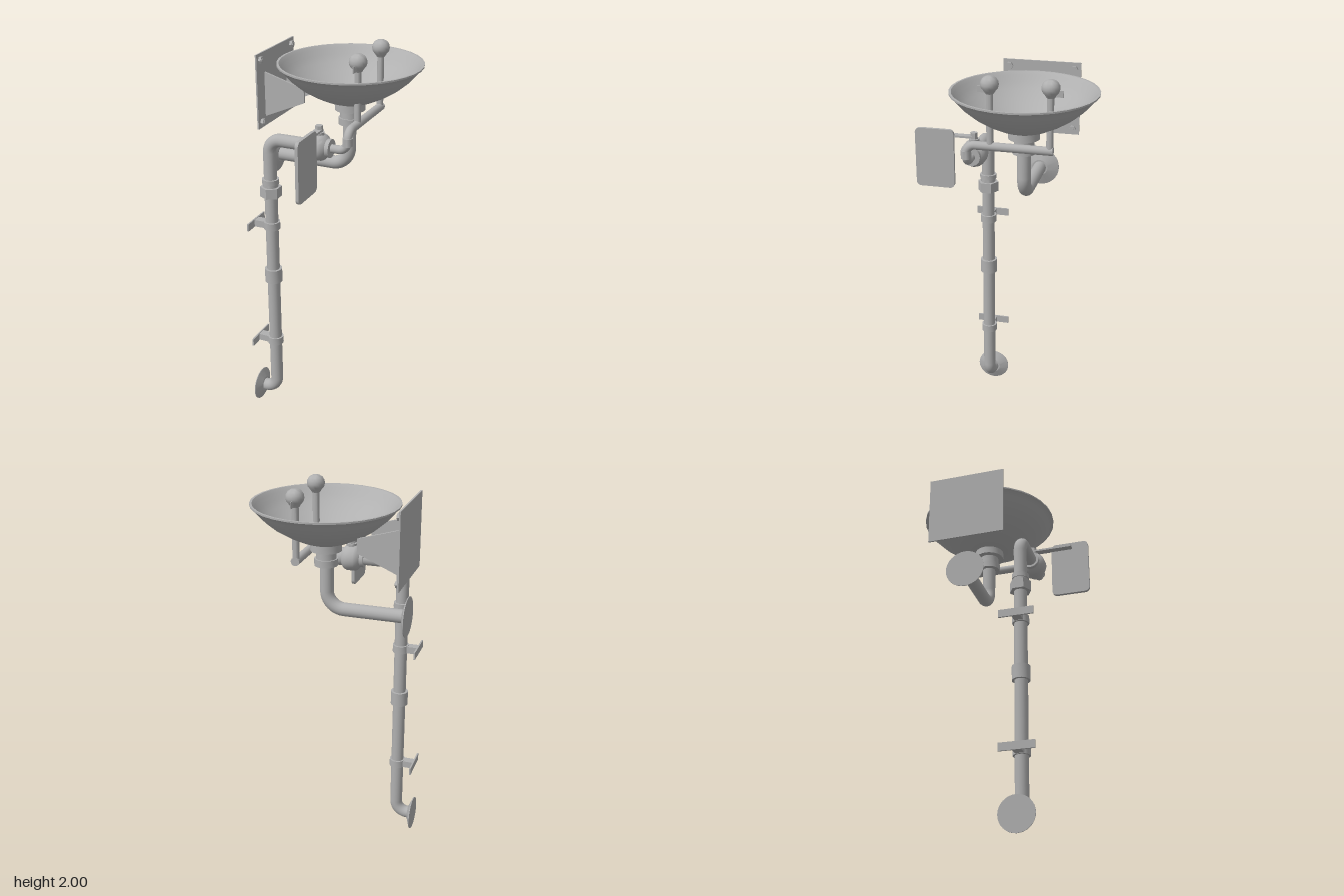
import * as THREE from 'three';
import { toCreasedNormals } from 'three/addons/utils/BufferGeometryUtils.js';

const steel = new THREE.MeshStandardMaterial({ color: 0xb0b0b0 });
steel.name = 'grey steel';

const WALL = -0.39;                 // wall plane
const BX = 0.025, BZ = -0.1;        // bowl axis
const SX = -0.293, SZ = 0.164;      // supply pipe axis
const VY = 1.56;                    // valve height
const NX = 0.125;                   // nozzle row

export function createModel() {
  const root = new THREE.Group();
  root.name = 'wallEyewash';

  const add = (name, geo, x = 0, y = 0, z = 0) => {
    const m = new THREE.Mesh(geo, steel);
    m.name = name;
    m.position.set(x, y, z);
    root.add(m);
    return m;
  };
  const box = (name, x0, x1, y0, y1, z0, z1) =>
    add(name, new THREE.BoxGeometry(x1 - x0, y1 - y0, z1 - z0), (x0 + x1) / 2, (y0 + y1) / 2, (z0 + z1) / 2);

  // Turned part: profile of [radius, distance along the axis]
  const turned = (name, profile, x, y, z, alongX = false, sides = 24, crease = 0.6) => {
    const pts = profile.map(([r, h]) => new THREE.Vector2(r, h));
    const geo = toCreasedNormals(new THREE.LatheGeometry(pts, sides), crease);
    if (alongX) geo.rotateZ(-Math.PI / 2);
    return add(name, geo, x, y, z);
  };
  const drum = (name, r, h0, h1, x, y, z, alongX = false, sides = 24) =>
    turned(name, [[0, h0], [r, h0], [r, h1], [0, h1]], x, y, z, alongX, sides);

  // Pipe through corner points with rounded elbows
  const pipe = (name, corners, r, bend, segments) => {
    const p = corners.map((c) => new THREE.Vector3(...c));
    const path = new THREE.CurvePath();
    let from = p[0];
    for (let i = 1; i < p.length - 1; i++) {
      const a = p[i].clone().add(p[i - 1].clone().sub(p[i]).setLength(bend));
      const b = p[i].clone().add(p[i + 1].clone().sub(p[i]).setLength(bend));
      const c1 = a.clone().lerp(p[i], 0.55), c2 = b.clone().lerp(p[i], 0.55);
      path.add(new THREE.LineCurve3(from, a));
      path.add(new THREE.CubicBezierCurve3(a, c1, c2, b));
      from = b;
    }
    path.add(new THREE.LineCurve3(from, p[p.length - 1]));
    add(name, new THREE.TubeGeometry(path, segments, r, 18));
  };
  const flange = (name, r, y, z) =>
    turned(name, [[0, 0], [r, 0], [r, 0.004], [0.042, 0.024], [0, 0.024]], WALL, y, z, true, 32, 0.3);

  // Bowl with a thin rim
  turned('bowl', [
    [0, 1.712], [0.075, 1.712], [0.13, 1.732], [0.19, 1.761], [0.25, 1.798], [0.3, 1.84],
    [0.335, 1.878], [0.35, 1.899], [0.36, 1.903], [0.36, 1.911], [0.349, 1.911],
    [0.335, 1.895], [0.315, 1.868], [0.285, 1.838], [0.235, 1.802], [0.18, 1.771],
    [0.12, 1.745], [0.06, 1.73], [0, 1.73]], BX, 0, BZ, false, 32, 0.7);
  drum('drainCover', 0.061, 1.725, 1.738, BX, 0, BZ, false, 24);

  // Drain fittings and waste pipe
  drum('drainCollar', 0.077, 1.675, 1.715, BX, 0, BZ);
  drum('drainNut', 0.05, 1.635, 1.675, BX, 0, BZ);
  drum('drainSleeve', 0.058, 1.6, 1.635, BX, 0, BZ);
  pipe('wastePipe', [[0.022, 1.65, BZ], [0.022, 1.38, BZ], [WALL + 0.01, 1.38, BZ]], 0.034, 0.09, 60);
  flange('wasteFlange', 0.1, 1.38, BZ);

  // Supply pipe with couplings
  pipe('supplyPipe', [[WALL + 0.01, 0.093, SZ], [SX, 0.093, SZ], [SX, VY, SZ], [-0.07, VY, SZ]], 0.033, 0.065, 150);
  flange('supplyFlange', 0.088, 0.093, SZ);
  drum('coupling', 0.045, 0.77, 0.845, SX, 0, SZ);
  drum('unionNut', 0.055, 1.255, 1.308, SX, 0, SZ, false, 6);
  drum('unionNeck', 0.038, 1.308, 1.325, SX, 0, SZ);
  drum('unionCollar', 0.043, 1.325, 1.35, SX, 0, SZ);

  // Pipe clamps
  for (const y of [0.41, 1.095]) {
    drum('clampRing', 0.042, y - 0.02, y + 0.02, SX, 0, SZ);
    box('clampArm', WALL + 0.005, SX - 0.03, y - 0.018, y + 0.018, SZ - 0.022, SZ + 0.022);
    box('clampPlate', WALL, WALL + 0.008, y - 0.02, y + 0.02, SZ - 0.088, SZ + 0.088);
  }

  // Valve
  turned('valveBody', [
    [0, -0.092], [0.045, -0.092], [0.045, -0.072], [0.06, -0.06], [0.067, -0.045],
    [0.067, -0.005], [0.06, 0.01], [0.046, 0.022], [0.046, 0.042], [0, 0.042]], 0, VY, SZ, true);
  drum('valveStem', 0.026, 1.6, 1.636, -0.022, 0, SZ);
  drum('valveStemNut', 0.019, 1.636, 1.668, -0.022, 0, SZ, false, 6);

  // Push lever and rounded paddle
  box('leverArm', -0.04, -0.004, 1.64, 1.65, SZ - 0.01, 0.375);
  const s = new THREE.Shape();
  const w = 0.1, h = 0.153, c = 0.025;
  s.absarc(w - c, h - c, c, 0, Math.PI / 2);
  s.absarc(-w + c, h - c, c, Math.PI / 2, Math.PI);
  s.absarc(-w + c, -h + c, c, Math.PI, Math.PI * 1.5);
  s.absarc(w - c, -h + c, c, Math.PI * 1.5, Math.PI * 2);
  const paddle = new THREE.ExtrudeGeometry(s, { depth: 0.016, bevelEnabled: false, curveSegments: 6 });
  paddle.rotateY(Math.PI / 2);
  add('paddle', paddle, -0.007, 1.527, 0.361);

  // Feed pipe and nozzles
  pipe('feedPipe', [[0.03, VY, SZ], [NX, VY, SZ], [NX, 1.655, SZ], [NX, 1.655, -0.255]], 0.021, 0.045, 80);
  drum('feedSleeve', 0.025, 1.585, 1.625, NX, 0, SZ);
  drum('feedEnd', 0.021, -0.262, -0.25, NX, 1.655, 0).rotation.x = Math.PI / 2;
  for (const side of [-1, 1]) {
    const z = BZ + side * 0.145;
    drum('nozzleRiser', 0.017, 1.65, 1.93, NX, 0, z, false, 16);
    turned('nozzleHead', [
      [0, 1.914], [0.02, 1.914], [0.027, 1.926], [0.04, 1.942], [0.044, 1.957],
      [0.042, 1.973], [0.033, 1.988], [0.018, 1.997], [0, 2]], NX, 0, z, false, 24, 0.9);
    const za = z + side * 0.06;
    box('nozzleTab', NX - 0.002, NX + 0.002, 1.918, 1.95, Math.min(z, za), Math.max(z, za));
  }

  // Wall bracket with gussets and bolts
  box('wallPlate', WALL, WALL + 0.008, 1.573, 1.95, -0.302, 0.102);
  const g = new THREE.Shape([[-0.385, 1.62], [-0.168, 1.715], [-0.168, 1.785], [-0.385, 1.848]]
    .map(([x, y]) => new THREE.Vector2(x, y)));
  for (const z of [-0.22, 0.02]) {
    add('gusset', new THREE.ExtrudeGeometry(g, { depth: 0.012, bevelEnabled: false }), 0, 0, z - 0.006);
  }
  for (const z of [-0.268, 0.068]) {
    for (const y of [1.603, 1.918]) {
      drum('bolt', 0.019, 0.006, 0.022, WALL, y, z, true, 6);
      drum('boltTip', 0.01, 0.02, 0.026, WALL, y, z, true, 12);
    }
  }
  return root;
}
